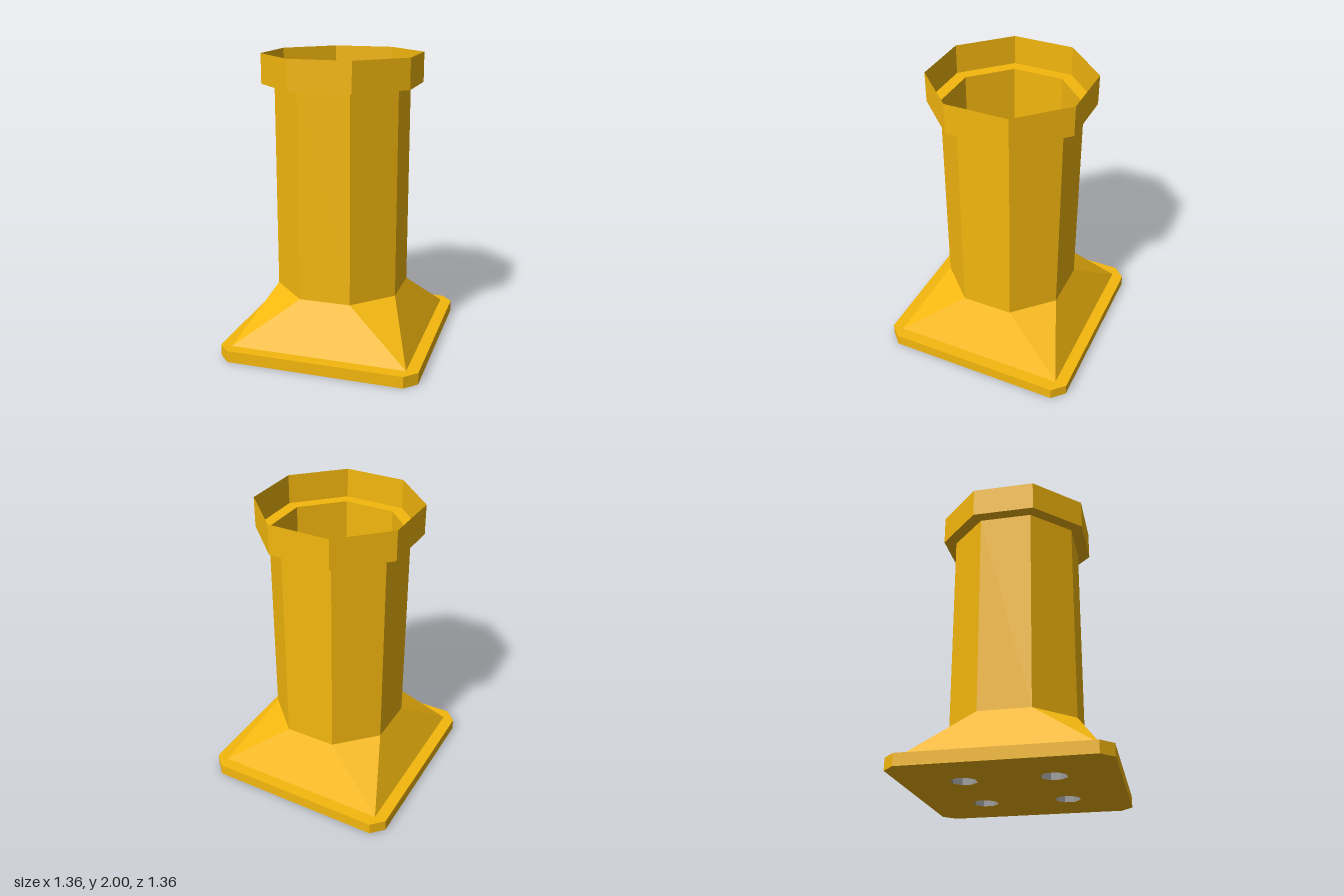
import * as THREE from 'three';

const EIGHTH = Math.PI / 8;
const toCorner = (apothem) => apothem / Math.cos(EIGHTH);

const yellow = new THREE.MeshStandardMaterial({ color: 0xf5b80e, flatShading: true, side: THREE.DoubleSide });
const grey = new THREE.MeshStandardMaterial({ color: 0x999999, flatShading: true, side: THREE.DoubleSide });

function addMesh(parent, name, geometry, material) {
  const mesh = new THREE.Mesh(geometry, material);
  mesh.name = name;
  parent.add(mesh);
  return mesh;
}

// Open eight-sided shell swept from [apothem, height] pairs, flat sides facing the axes
function octagonShell(profile) {
  const points = profile.map(([a, y]) => new THREE.Vector2(toCorner(a), y));
  return new THREE.LatheGeometry(points, 8, EIGHTH);
}

function octagonPoints(cx, cy, apothem) {
  return Array.from({ length: 8 }, (_, i) => {
    const t = EIGHTH + (i * Math.PI) / 4;
    return new THREE.Vector2(cx + toCorner(apothem) * Math.cos(t), cy + toCorner(apothem) * Math.sin(t));
  });
}

// One quarter of the skirt: a sloping side and the triangle at its corner
function skirtQuarter() {
  const h = 0.42 * Math.tan(EIGHTH);
  const left = [-0.6, 0.08, 0.6], right = [0.6, 0.08, 0.6];
  const topLeft = [-h, 0.4, 0.42], topRight = [h, 0.4, 0.42], topSide = [0.42, 0.4, h];
  const triangles = [left, right, topRight, left, topRight, topLeft, right, topSide, topRight];
  const geometry = new THREE.BufferGeometry();
  geometry.setAttribute('position', new THREE.Float32BufferAttribute(triangles.flat(), 3));
  geometry.computeVertexNormals();
  return geometry;
}

export function createModel() {
  const model = new THREE.Group();
  model.name = 'pedestal';

  // Base plate with chamfered corners and four bolt holes
  const plate = new THREE.Shape([
    [0.6, 0.68], [-0.6, 0.68], [-0.68, 0.6], [-0.68, -0.6],
    [-0.6, -0.68], [0.6, -0.68], [0.68, -0.6], [0.68, 0.6],
  ].map(([x, y]) => new THREE.Vector2(x, y)));
  const boltCentres = [[1, 1], [-1, 1], [-1, -1], [1, -1]].map(([x, z]) => [0.28 * x, 0.28 * z]);
  for (const [x, z] of boltCentres) plate.holes.push(new THREE.Path(octagonPoints(x, z, 0.08)));
  const plateGeometry = new THREE.ExtrudeGeometry(plate, { depth: 0.08, bevelEnabled: false });
  plateGeometry.rotateX(-Math.PI / 2);
  addMesh(model, 'basePlate', plateGeometry, yellow);

  // Grey bolt sockets, open underneath
  for (const [x, z] of boltCentres) {
    const socket = new THREE.Group();
    socket.name = 'boltSocket';
    socket.position.set(x, 0, z);
    const wall = new THREE.CylinderGeometry(toCorner(0.079), toCorner(0.079), 0.08, 8, 1, true, EIGHTH);
    wall.translate(0, 0.04, 0);
    addMesh(socket, 'socketWall', wall, grey);
    const cap = new THREE.CircleGeometry(toCorner(0.08), 8, EIGHTH);
    cap.rotateX(-Math.PI / 2).translate(0, 0.081, 0);
    addMesh(socket, 'socketCap', cap, grey);
    model.add(socket);
  }

  // Skirt from the square base to the eight-sided shaft
  const skirt = new THREE.Group();
  skirt.name = 'skirt';
  for (let i = 0; i < 4; i++) {
    addMesh(skirt, 'skirtQuarter', skirtQuarter(), yellow).rotation.y = (i * Math.PI) / 2;
  }
  model.add(skirt);

  // Hollow shaft, ledge and collar
  addMesh(model, 'shaft', octagonShell([[0.42, 0.4], [0.42, 1.8]]), yellow);
  addMesh(model, 'ledge', octagonShell([[0.42, 1.8], [0.5, 1.8]]), yellow);
  addMesh(model, 'collar', octagonShell([[0.5, 1.8], [0.5, 2]]), yellow);

  return model;
}
